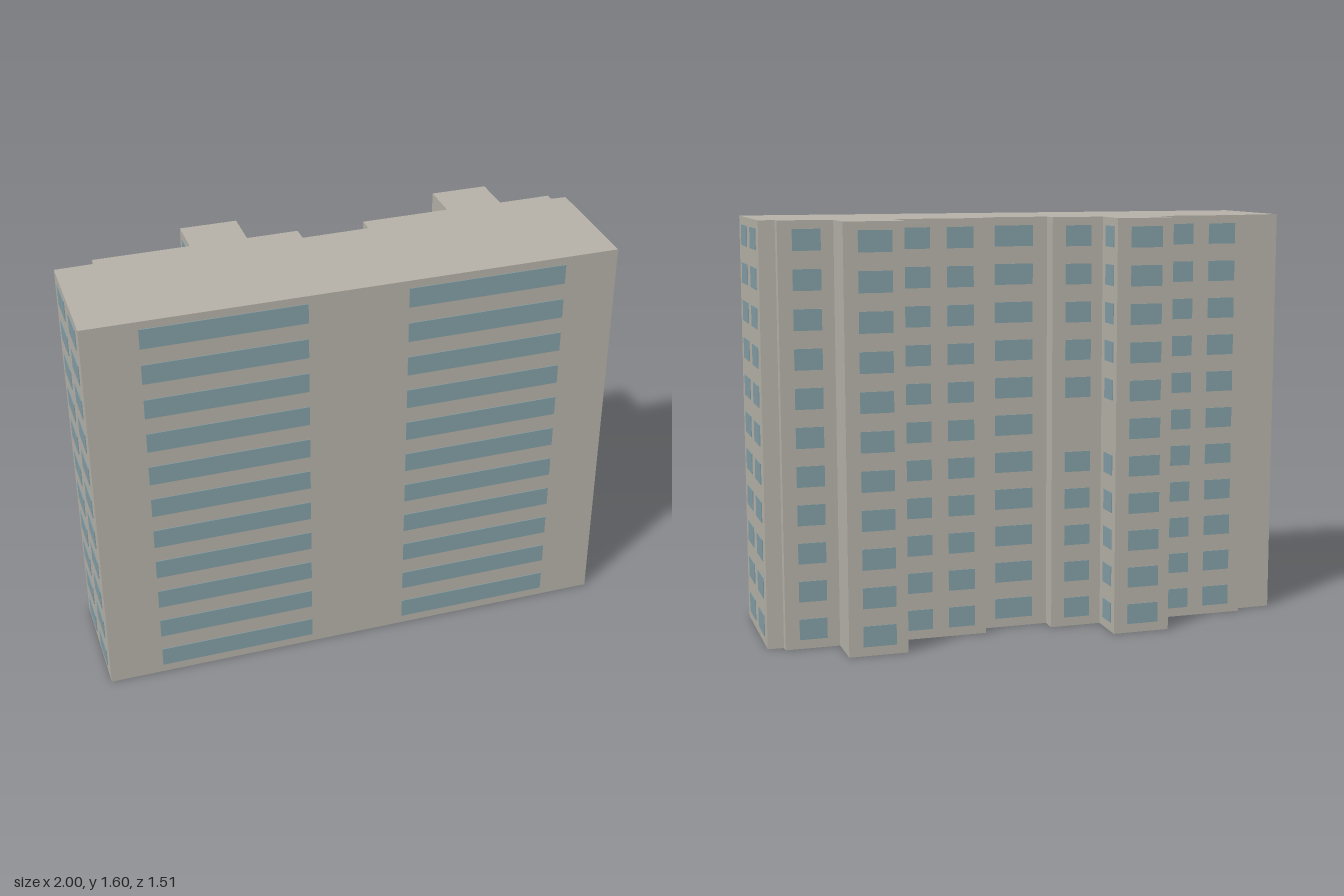
import * as THREE from 'three';
import { mergeGeometries } from 'three/addons/utils/BufferGeometryUtils.js';

const HEIGHT = 1.6, FLOORS = 11, STOREY = HEIGHT / FLOORS;
const WINDOW_HEIGHT = 0.079, PLATE = 0.006, GAP_FLOOR = 5;

// Each wall starts at a plan corner (x, z) and runs to the next one.
// cols: window columns as [start, end] fractions along the wall.
const PAIR = [[0.125, 0.415], [0.59, 0.875]];
const WALLS = [
  { at: [-1, -0.35], name: 'frontWindowBands', cols: [[0.103, 0.406], [0.594, 0.897]] },
  { at: [0.736, 0.755], name: 'leftEndWindows', cols: PAIR },
  { at: [1, 0.345] },
  { at: [0.95, 0.31] },
  { at: [0.965, 0.283], name: 'backWindowsA', cols: [[0.26, 0.77]] },
  { at: [0.79, 0.173] },
  { at: [0.876, 0.035], name: 'leftTowerWindows', cols: [[0.24, 0.8]] },
  { at: [0.686, -0.085] },
  { at: [0.602, 0.05], name: 'backWindowsB', cols: [[0.1, 0.39], [0.575, 0.87]] },
  { at: [0.306, -0.136] },
  { at: [0.274, -0.085], name: 'backWindowsC', cols: [[0.21, 0.78]] },
  { at: [0.048, -0.225] },
  { at: [0.082, -0.28], name: 'backWindowsD', cols: [[0.26, 0.77]], gap: true },
  { at: [-0.09, -0.387], name: 'rightTowerInnerWindows', cols: [[0.24, 0.78]], gap: true },
  { at: [-0.004, -0.523], name: 'rightTowerWindows', cols: [[0.24, 0.8]] },
  { at: [-0.194, -0.643], name: 'rightTowerOuterWindows', cols: [[0.22, 0.76]], gap: true },
  { at: [-0.279, -0.508], name: 'backWindowsE', cols: [[0.1, 0.4], [0.575, 0.87]] },
  { at: [-0.596, -0.708] },
  { at: [-0.614, -0.68] },
  { at: [-0.741, -0.757], name: 'rightEndWindows', cols: PAIR },
];

// All window plates of one wall, merged into one geometry
function windowGeometry([x0, z0], [x1, z1], cols, gap) {
  const dx = x1 - x0, dz = z1 - z0, length = Math.hypot(dx, dz);
  const plates = [];
  for (const [a, b] of cols) {
    const mid = (a + b) / 2;
    for (let floor = 0; floor < FLOORS; floor++) {
      if (gap && floor === GAP_FLOOR) continue;
      const plate = new THREE.BoxGeometry((b - a) * length, WINDOW_HEIGHT, PLATE);
      plate.rotateY(Math.atan2(-dz, dx));
      plate.translate(x0 + dx * mid, (floor + 0.5) * STOREY + 0.002, z0 + dz * mid);
      plates.push(plate);
    }
  }
  return mergeGeometries(plates);
}

export function createModel() {
  const model = new THREE.Group();
  model.name = 'apartmentBlock';

  const concrete = new THREE.MeshStandardMaterial({ color: 0xb4b0a7 });
  concrete.name = 'warm grey concrete';
  const glass = new THREE.MeshStandardMaterial({ color: 0x829da4 });
  glass.name = 'blue grey glass';

  // Building body: the stepped plan extruded to full height
  const plan = new THREE.Shape(WALLS.map(({ at: [x, z] }) => new THREE.Vector2(x, -z)));
  const bodyGeometry = new THREE.ExtrudeGeometry(plan, { depth: HEIGHT, bevelEnabled: false });
  bodyGeometry.rotateX(-Math.PI / 2);
  const body = new THREE.Mesh(bodyGeometry, concrete);
  body.name = 'buildingBody';
  model.add(body);

  // Windows, wall by wall
  WALLS.forEach(({ at, name, cols, gap }, i) => {
    if (!cols) return;
    const next = WALLS[(i + 1) % WALLS.length].at;
    const windows = new THREE.Mesh(windowGeometry(at, next, cols, gap), glass);
    windows.name = name;
    model.add(windows);
  });

  return model;
}
